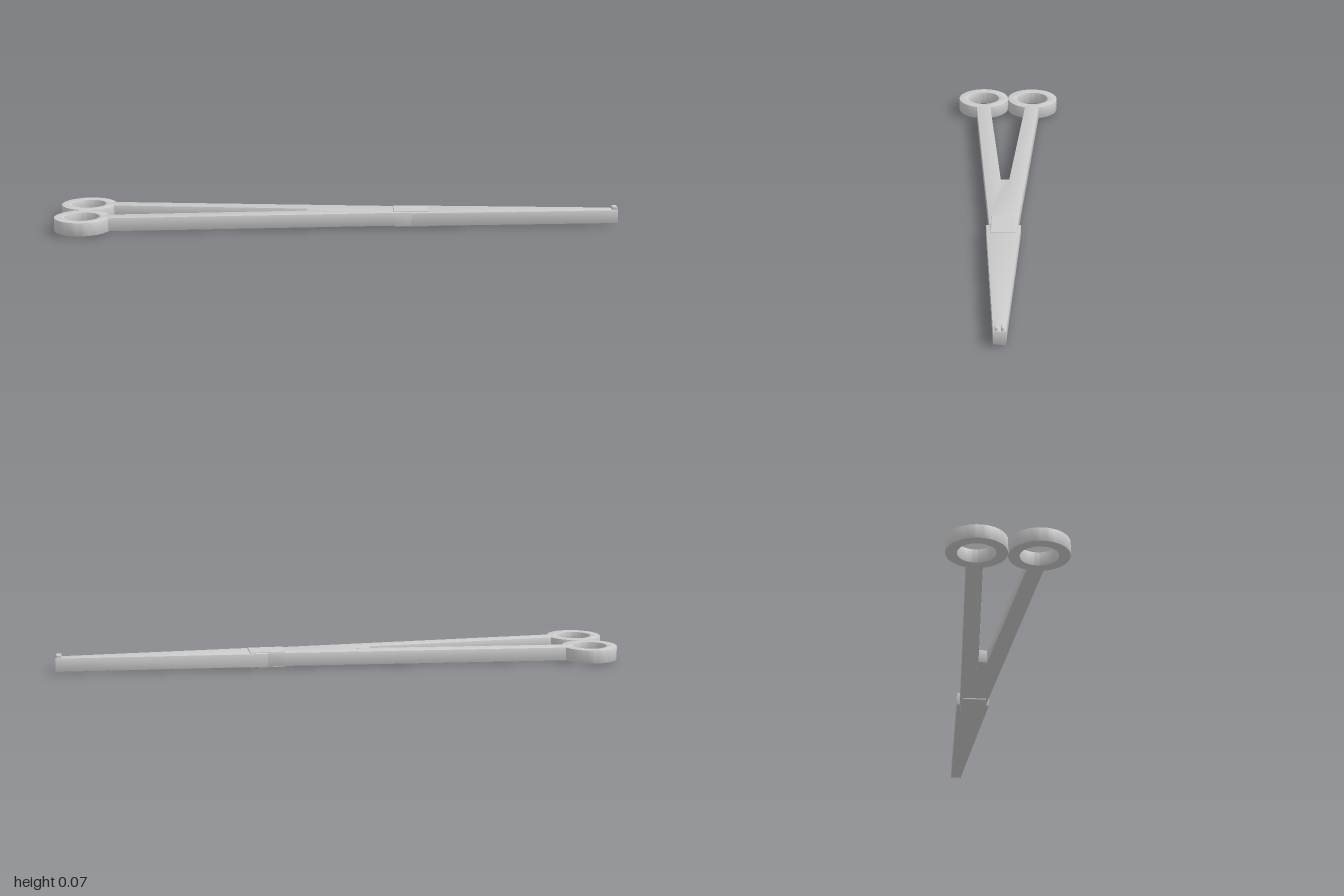
import * as THREE from 'three';
import { toCreasedNormals } from 'three/addons/utils/BufferGeometryUtils.js';
import { RoundedBoxGeometry } from 'three/addons/geometries/RoundedBoxGeometry.js';

const BOTTOM = 0.008, TOP = 0.056, MID = (BOTTOM + TOP) / 2;
const BEVEL = 0.002;

export function createModel() {
  const group = new THREE.Group();
  const material = new THREE.MeshStandardMaterial({ color: 0xcccccc });

  const add = (name, geometry, x = 0, y = 0, z = 0) => {
    const mesh = new THREE.Mesh(geometry, material);
    mesh.name = name;
    mesh.position.set(x, y, z);
    group.add(mesh);
  };

  // Flat plate lying in the ground plane with slightly softened edges
  const plate = (shape) => {
    const geometry = new THREE.ExtrudeGeometry(shape, {
      depth: TOP - BOTTOM - 2 * BEVEL, curveSegments: 32,
      bevelThickness: BEVEL, bevelSize: BEVEL, bevelOffset: -BEVEL, bevelSegments: 2,
    });
    geometry.rotateX(-Math.PI / 2);
    geometry.translate(0, BOTTOM + BEVEL, 0);
    return toCreasedNormals(geometry, 0.6);
  };

  // Mirrors one edge, listed as [x, half width], into a closed outline
  const mirrored = (edge) => new THREE.Shape([
    ...edge.map(([x, w]) => new THREE.Vector2(x, -w)),
    ...edge.map(([x, w]) => new THREE.Vector2(x, w)).reverse(),
  ]);

  // Two handle shanks joined ahead of a blunt V notch
  add('shanks', plate(mirrored([
    [-0.115, 0.015], [-0.825, 0.07], [-0.825, 0.125], [0.195, 0.053], [0.27, 0.048],
  ])));

  // Tapered jaws, stepping out just behind the pivot
  add('jaws', plate(mirrored([[0.26, 0.06], [0.998, 0.02]])));

  // Finger rings
  const ring = new THREE.Shape().absarc(0, 0, 0.098, 0, Math.PI * 2);
  ring.holes.push(new THREE.Path().absarc(0, 0, 0.061, 0, Math.PI * 2, true));
  for (const side of [-1, 1]) {
    add(side > 0 ? 'frontRing' : 'backRing', plate(ring), -0.902, 0, side * 0.098);
  }

  // Box lock around the pivot
  add('boxLock', new RoundedBoxGeometry(0.125, 0.058, 0.087, 2, 0.003), 0.258, MID - 0.001, 0);

  // Small gripping teeth on the tip
  for (const side of [-1, 1]) {
    add('tipTooth', new RoundedBoxGeometry(0.02, 0.018, 0.01, 3, 0.0045), 0.986, 0.059, side * 0.01);
  }

  // Tiny ratchet notches just ahead of the V notch
  for (let i = 0; i < 3; i++) {
    add('ratchetTooth', new THREE.BoxGeometry(0.01, TOP - BOTTOM + 0.001, 0.003), -0.09 + i * 0.022, MID, -0.015);
  }

  return group;
}
